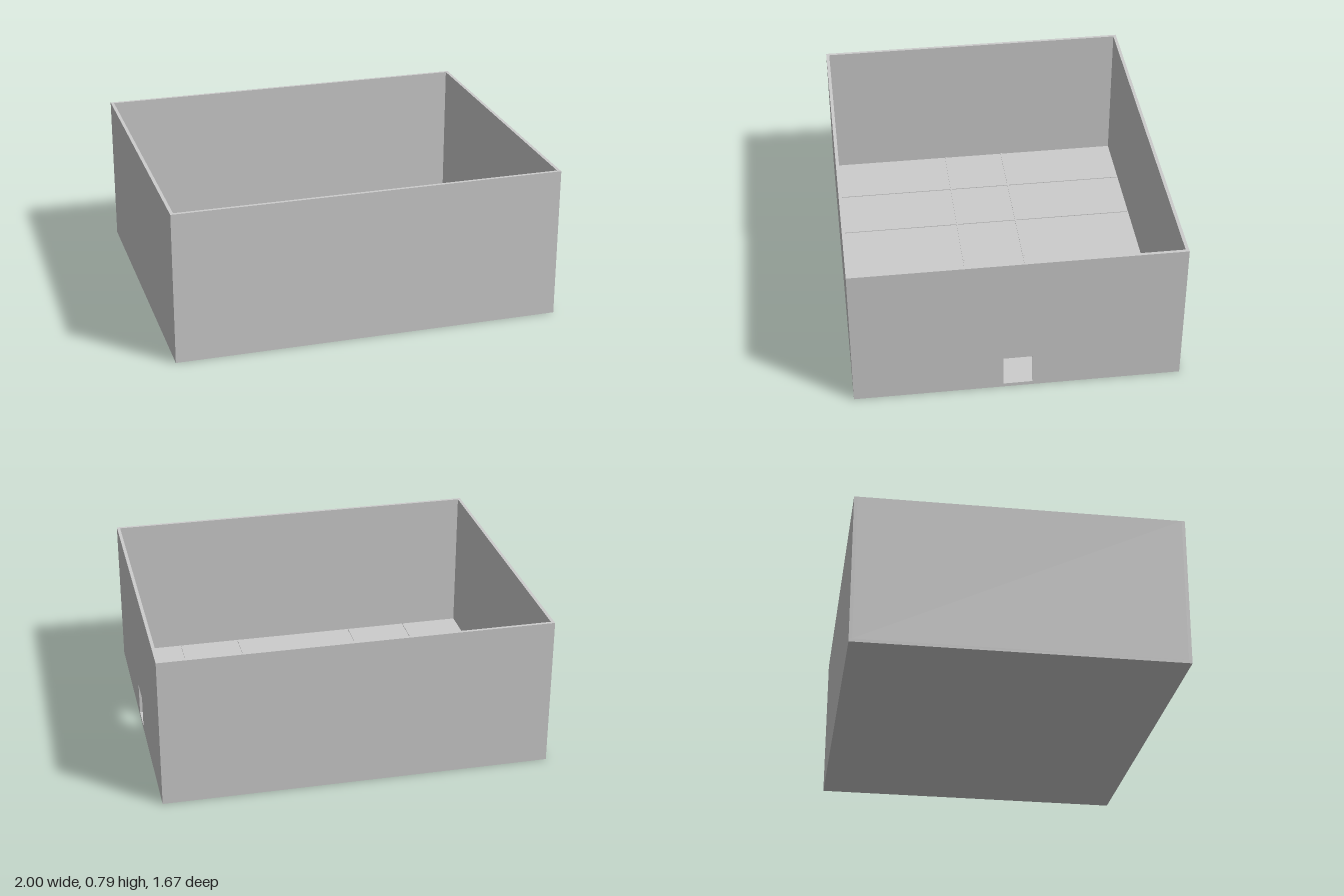
import * as THREE from 'three';

export function createModel() {
  const group = new THREE.Group();
  const grey = new THREE.MeshStandardMaterial({ color: 0xcccccc });
  grey.name = 'plainGrey';

  const W = 2, D = 1.666, H = 0.79, T = 0.0167, FLOOR = 0.0167;

  function add(name, geometry, x, y, z) {
    const mesh = new THREE.Mesh(geometry, grey);
    mesh.name = name;
    mesh.position.set(x, y, z);
    group.add(mesh);
    return mesh;
  }
  const box = (name, w, h, d, x, y, z) => add(name, new THREE.BoxGeometry(w, h, d), x, y, z);

  // Floor slab and the three closed walls
  box('floor', W, FLOOR, D, 0, FLOOR / 2, 0);
  const wallH = H - FLOOR, wallY = FLOOR + wallH / 2;
  box('frontWall', W, wallH, T, 0, wallY, (D - T) / 2);
  box('backWall', W, wallH, T, 0, wallY, -(D - T) / 2);
  box('rightWall', T, wallH, D - 2 * T, -(W - T) / 2, wallY, 0);

  // Wall with the small doorway
  const half = D / 2 - T;
  const outline = new THREE.Shape([
    new THREE.Vector2(-half, FLOOR), new THREE.Vector2(half, FLOOR),
    new THREE.Vector2(half, H), new THREE.Vector2(-half, H),
  ]);
  outline.holes.push(new THREE.Path([
    new THREE.Vector2(-0.075, 0.02), new THREE.Vector2(-0.075, 0.19),
    new THREE.Vector2(0.075, 0.19), new THREE.Vector2(0.075, 0.02),
  ]));
  const doorWall = new THREE.ExtrudeGeometry(outline, { depth: T, bevelEnabled: false });
  add('doorWall', doorWall, W / 2 - T, 0, 0).rotation.y = Math.PI / 2;

  // Slim raised strips dividing the floor into bays
  const stripW = 0.008, stripH = 0.004, stripY = FLOOR + stripH / 2;
  for (const x of [-0.667, -0.333, 0.333, 0.667]) {
    for (const [from, to] of [[-0.81, -0.502], [-0.498, -0.171], [-0.163, 0.163], [0.171, 0.498], [0.502, 0.81]]) {
      box('floorStrip', stripW, stripH, to - from, x, stripY, (from + to) / 2);
    }
  }
  for (const z of [-0.167, 0.167]) {
    for (const side of [-1, 1]) box('crossStrip', 0.98, stripH, stripW, side * 0.492, stripY, z);
  }
  return group;
}
